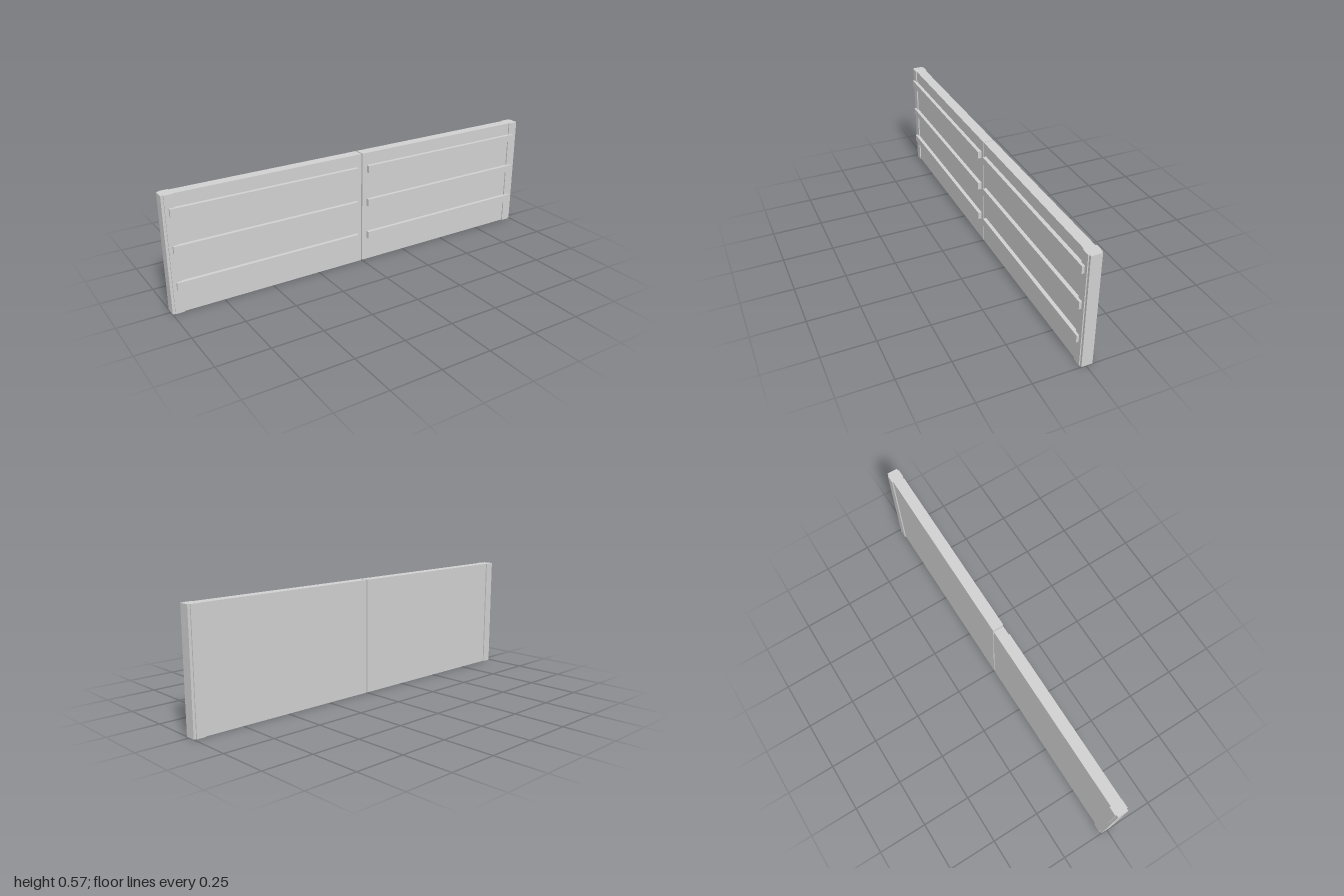
import * as THREE from 'three';

const HEIGHT = 0.57;

// Half-panel cross-section [x, z]: thin sheet, thicker square post, then a stepped end strip
const PROFILE = [
  [0.003, 0.021], [0.945, 0.021], [0.945, 0.027], [0.988, 0.027], [0.988, 0.022], [1, 0.022],
  [1, -0.031], [0.988, -0.031], [0.988, -0.037], [0.945, -0.037], [0.945, -0.031], [0.003, -0.031],
];

export function createModel() {
  const model = new THREE.Group();
  model.name = 'slattedPanel';
  const grey = new THREE.MeshStandardMaterial({ color: 0xd0d0d0 });
  grey.name = 'light grey';

  for (const [side, s] of [['left', 1], ['right', -1]]) {
    // Upright panel, extruded along y
    const shape = new THREE.Shape(PROFILE.map(([x, z]) => new THREE.Vector2(s * x, -z)));
    const geometry = new THREE.ExtrudeGeometry(shape, { depth: HEIGHT, bevelEnabled: false });
    geometry.rotateX(-Math.PI / 2);
    const panel = new THREE.Mesh(geometry, grey);
    panel.name = `${side}Panel`;
    model.add(panel);

    // Three horizontal battens on the front
    [0.137, 0.313, 0.489].forEach((y, i) => {
      const batten = new THREE.Mesh(new THREE.BoxGeometry(0.942, 0.037, 0.02), grey);
      batten.name = `${side}Batten${i + 1}`;
      batten.position.set(s * 0.5, y, 0.029);
      model.add(batten);
    });
  }
  return model;
}
